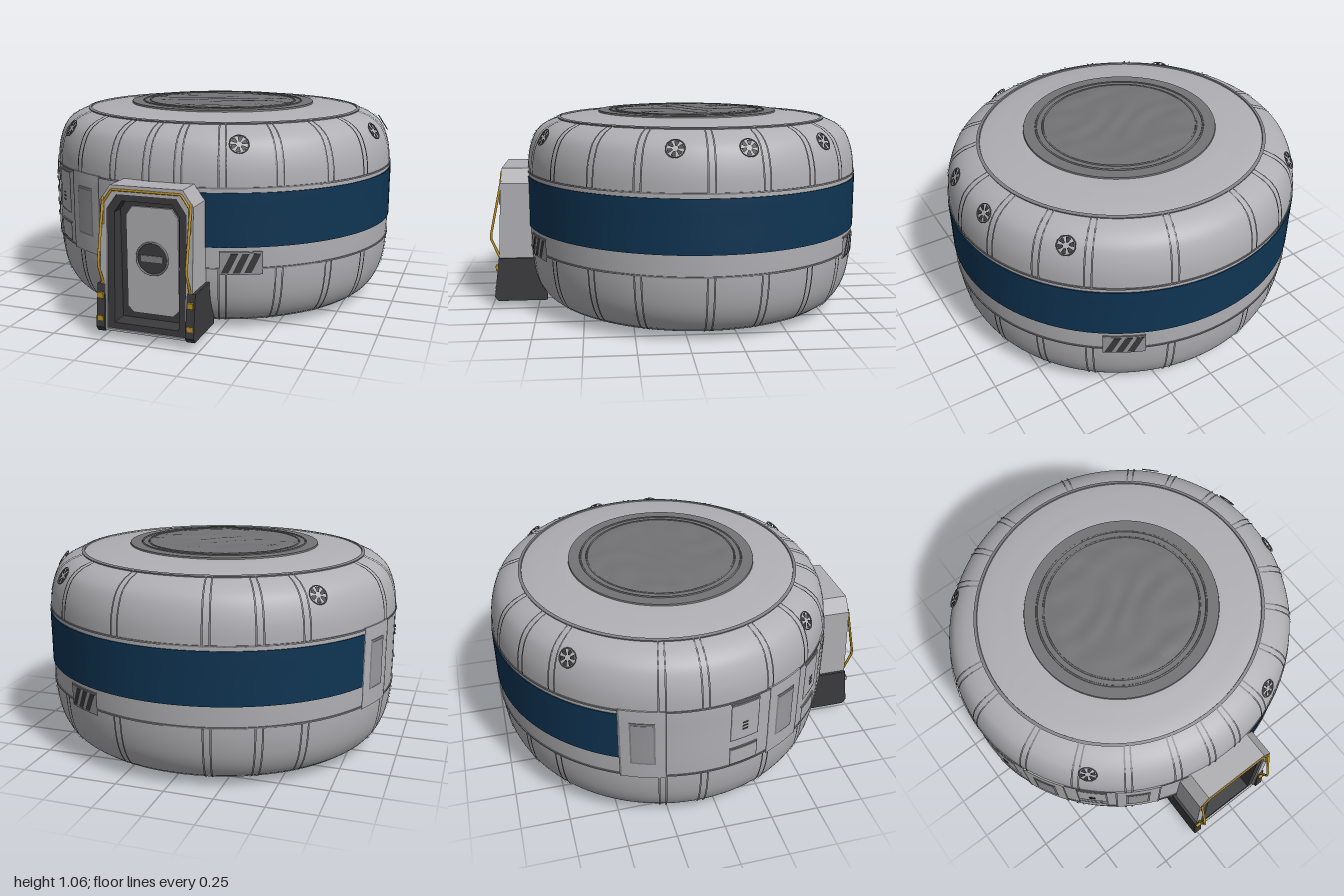
import * as THREE from 'three';

const mat = (name, color, side = THREE.FrontSide) => {
  const m = new THREE.MeshStandardMaterial({ color, side });
  m.name = name;
  return m;
};
const V2 = (x, y) => new THREE.Vector2(x, y);
const V3 = (x, y, z) => new THREE.Vector3(x, y, z);
const rad = THREE.MathUtils.degToRad;

export function createModel() {
  const hull = mat('hull grey', 0xb0afb3);
  const panel = mat('panel grey', 0x98979b);
  const seam = mat('seam grey', 0x818084);
  const cap = mat('roof cap grey', 0x737274);
  const dark = mat('dark trim', 0x3b3a3d, THREE.DoubleSide);
  const blue = mat('blue band', 0x0f3453);
  const yellow = mat('safety yellow', 0xbf931d);

  const model = new THREE.Group();
  model.name = 'habitatModule';
  const body = new THREE.Group();
  body.name = 'body';
  body.position.z = -0.097;
  body.scale.z = 0.963;
  model.add(body);

  const add = (parent, name, geo, material, x = 0, y = 0, z = 0) => {
    const m = new THREE.Mesh(geo, material);
    m.name = name;
    m.position.set(x, y, z);
    parent.add(m);
    return m;
  };

  // Hull: a fat rounded drum
  const profile = new THREE.SplineCurve([
    V2(0.78, 0.03), V2(0.85, 0.068), V2(0.9, 0.15), V2(0.925, 0.26), V2(0.932, 0.4), V2(0.932, 0.58),
    V2(0.932, 0.72), V2(0.922, 0.83), V2(0.89, 0.92), V2(0.845, 0.968), V2(0.78, 1.0),
    V2(0.7, 1.019), V2(0.6, 1.031), V2(0.5, 1.039), V2(0.25, 1.043), V2(0, 1.045),
  ]).getPoints(75);
  add(body, 'hull', new THREE.LatheGeometry(profile, 128), hull);
  add(body, 'underside', new THREE.LatheGeometry([V2(0, 0.03), V2(0.78, 0.03)], 96), hull);
  add(body, 'basePlate', new THREE.CylinderGeometry(0.465, 0.455, 0.03, 96), hull, 0, 0.015, 0);
  for (const r of [0.2, 0.4]) {
    const ring = add(body, 'baseRing', new THREE.TorusGeometry(r, 0.004, 6, 80), hull, 0, 0.004, 0);
    ring.rotation.x = Math.PI / 2;
  }

  // Hull radius and outward normal at a height
  const radiusAt = (y) => {
    for (let i = 1; i < profile.length; i++) {
      const a = profile[i - 1], b = profile[i];
      if (y <= b.y) return a.x + (b.x - a.x) * (y - a.y) / (b.y - a.y);
    }
    return 0;
  };
  const surface = (y, off) => {
    const e = 0.004, d = V2(radiusAt(y + e) - radiusAt(y - e), 2 * e).normalize();
    return V2(radiusAt(y) + d.y * off, y - d.x * off);
  };

  // Raised patch following the hull, angles in degrees from the front towards +x
  const patch = (name, a0, a1, y0, y1, off, material, lean = 0) => {
    const n = Math.max(2, Math.ceil((y1 - y0) / 0.025));
    const outer = [];
    for (let i = 0; i <= n; i++) outer.push(surface(y0 + (y1 - y0) * i / n, off));
    const pts = [surface(y0, -0.004), outer[0].clone(), ...outer, outer[n].clone(), surface(y1, -0.004)];
    const geo = new THREE.LatheGeometry(pts, Math.max(1, Math.ceil((a1 - a0) / 3)), rad(a0), rad(a1 - a0));
    if (lean) {
      const p = geo.attributes.position;
      for (let i = 0; i < p.count; i++) {
        const v = V3().fromBufferAttribute(p, i);
        v.applyAxisAngle(V3(0, 1, 0), rad(lean) * (v.y - y0) / (y1 - y0));
        p.setXYZ(i, v.x, v.y, v.z);
      }
    }
    return add(body, name, geo, material);
  };

  // Blue band around three quarters of the wall
  patch('blueBand', 10, 244, 0.445, 0.71, 0.006, blue);

  // Horizontal seams
  patch('upperSeam', 0, 360, 0.728, 0.736, 0.005, seam);
  patch('lowerSeam', 0, 360, 0.335, 0.343, 0.005, seam);
  patch('roofSeam', 0, 360, 1.007, 1.011, 0.007, seam);
  patch('footSeam', 0, 360, 0.036, 0.042, 0.004, seam);

  // Paired vertical ribs above and below the band
  for (const a of [-5, 5, 18, 35, 52, 68, 90, 107, 124, 140, 165, 193, 208, 222, 257, 270, 292, 310, 327, 343]) {
    for (const s of [-1, 1]) {
      const c = a + s * 1.1;
      patch('upperRib', c - 0.28, c + 0.28, 0.735, 1.008, 0.006, seam);
      patch('lowerRib', c - 0.28, c + 0.28, 0.04, 0.335, 0.006, seam);
    }
  }

  // Equipment wall: framed windows and service hatches
  for (const a of [-109, -61, -30]) {
    patch('windowFrame', a - 7, a + 7, 0.33, 0.74, 0.008, hull);
    for (const s of [-7, 7]) patch('frameEdge', a + s - 0.3, a + s + 0.3, 0.33, 0.74, 0.01, seam);
    patch('windowRim', a - 3.9, a + 3.9, 0.42, 0.67, 0.011, seam);
    patch('windowPane', a - 3.3, a + 3.3, 0.432, 0.658, 0.013, panel);
  }
  for (const a of [-77, -45]) {
    patch('hatchRim', a - 5, a + 5, 0.5, 0.72, 0.007, seam);
    patch('hatch', a - 4.6, a + 4.6, 0.508, 0.712, 0.009, hull);
    patch('lowerHatchRim', a - 5, a + 5, 0.35, 0.45, 0.007, seam);
    patch('lowerHatch', a - 4.6, a + 4.6, 0.357, 0.443, 0.009, hull);
    for (const y of [0.555, 0.575, 0.595]) patch('hatchSlot', a - 1, a + 1, y, y + 0.008, 0.011, dark);
  }

  // Striped warning plates
  for (const a of [17, 144]) {
    patch('warningRim', a, a + 13, 0.31, 0.425, 0.006, seam);
    patch('warningPlate', a + 0.3, a + 12.7, 0.315, 0.42, 0.008, panel);
    for (const s of [0.6, 4, 7.4]) patch('warningStripe', a + s, a + s + 2.2, 0.32, 0.415, 0.01, dark, 2.8);
  }

  // Round fan vents on the shoulder
  for (const a of [23, 79, 102, 133, 227, 314]) {
    const p = surface(0.93, 0.007), q = surface(0.93, 0.5);
    const s = Math.sin(rad(a)), c = Math.cos(rad(a));
    const vent = new THREE.Group();
    vent.name = 'vent';
    vent.position.set(p.x * s, p.y, p.x * c);
    vent.lookAt(q.x * s, q.y, q.x * c);
    add(vent, 'ventRing', new THREE.TorusGeometry(0.046, 0.003, 6, 24), seam);
    for (let i = 0; i < 6; i++) {
      add(vent, 'ventSlot', new THREE.RingGeometry(0.014, 0.04, 4, 1, i * Math.PI / 3, 0.65), dark);
    }
    body.add(vent);
  }

  // Roof cap: flat rim and crumpled cover
  const roof = new THREE.Group();
  roof.name = 'roofCap';
  roof.position.z = 0.02;
  body.add(roof);
  add(roof, 'capRim', new THREE.CylinderGeometry(0.505, 0.51, 0.02, 96), cap, 0, 1.037, 0);
  const coverPts = [];
  for (let i = 0; i <= 22; i++) coverPts.push(V2(0.44 * (1 - i / 22), 1.045));
  const cover = new THREE.LatheGeometry(coverPts, 72);
  const cp = cover.attributes.position;
  for (let i = 0; i < cp.count; i++) {
    const x = cp.getX(i), z = cp.getZ(i), t = 1 - Math.hypot(x, z) / 0.44;
    const lump = Math.sin(13 * x + 4 * Math.sin(9 * z)) * Math.cos(15 * z + 3 * Math.sin(8 * x));
    cp.setY(i, 1.046 + Math.min(1, t * 5) * (0.006 + 0.004 * lump));
  }
  cover.computeVertexNormals();
  add(roof, 'capCover', cover, cap);
  for (const r of [0.44, 0.405]) {
    const ring = add(roof, 'capRing', new THREE.TorusGeometry(r, 0.005, 6, 80), cap, 0, 1.048, 0);
    ring.rotation.x = Math.PI / 2;
  }

  // Airlock, built around its own centre line
  const lock = new THREE.Group();
  lock.name = 'airlock';
  lock.position.x = -0.024;
  model.add(lock);
  const outline = (w, y0, y1, c, foot = 0) => {
    const pts = [V2(-w + foot, y0), V2(w - foot, y0)];
    if (foot) pts.push(V2(w, y0 + foot));
    pts.push(V2(w, y1 - c), V2(w - c * 0.7, y1), V2(-w + c * 0.7, y1), V2(-w, y1 - c));
    if (foot) pts.push(V2(-w, y0 + foot));
    return pts;
  };
  const slab = (name, outer, inner, z0, z1, material, slope = 0) => {
    const shape = new THREE.Shape(outer);
    if (inner) shape.holes.push(new THREE.Path(inner));
    const geo = new THREE.ExtrudeGeometry(shape, { depth: z1 - z0, bevelEnabled: false });
    const p = geo.attributes.position;
    for (let i = 0; i < p.count; i++) {
      if (p.getZ(i) > 0.001) p.setZ(i, p.getZ(i) + slope * (0.75 - p.getY(i)));
    }
    geo.computeVertexNormals();
    return add(lock, name, geo, material, 0, 0, z0);
  };
  slab('airlockHousing', outline(0.235, 0.04, 0.75, 0.075), outline(0.2, 0.05, 0.705, 0.07), 0.6, 0.93, hull, 0.05);
  slab('doorFrame', outline(0.203, 0.045, 0.708, 0.07), outline(0.165, 0.08, 0.675, 0.055), 0.7, 0.92, dark, 0.05);
  slab('doorSurround', outline(0.18, 0.06, 0.69, 0.06), null, 0.7, 0.86, dark);
  slab('door', outline(0.133, 0.11, 0.64, 0.045, 0.03), null, 0.85, 0.87, hull);
  add(lock, 'doorPorthole', new THREE.CircleGeometry(0.08, 40), dark, 0, 0.39, 0.873);
  add(lock, 'portholeRing', new THREE.TorusGeometry(0.08, 0.005, 6, 40), seam, 0, 0.39, 0.873);
  add(lock, 'portholeBar', new THREE.BoxGeometry(0.11, 0.03, 0.006), seam, 0, 0.39, 0.874);
  add(lock, 'sill', new THREE.BoxGeometry(0.44, 0.045, 0.27), dark, 0, 0.0575, 0.8);

  // Side feet, clips and hand rails
  const foot = new THREE.Shape([V2(-0.7, 0.035), V2(-0.965, 0.035), V2(-0.982, 0.06), V2(-0.955, 0.27), V2(-0.7, 0.27)]);
  for (const s of [-1, 1]) {
    const f = add(lock, 'foot', new THREE.ExtrudeGeometry(foot, { depth: 0.042, bevelEnabled: false }), dark, s * 0.229 - 0.021);
    f.rotation.y = Math.PI / 2;
    for (const y of [0.1, 0.215]) {
      add(lock, 'clip', new THREE.BoxGeometry(0.028, 0.028, 0.02), yellow, s * 0.229, y, 0.972 - y * 0.04);
    }
    const rail = new THREE.CurvePath();
    const p = [V3(s * 0.222, 0.69, 0.93), V3(s * 0.222, 0.4, 0.993), V3(s * 0.222, 0.37, 0.993), V3(s * 0.222, 0.27, 0.95)];
    for (let i = 1; i < p.length; i++) rail.add(new THREE.LineCurve3(p[i - 1], p[i]));
    add(lock, 'handRail', new THREE.TubeGeometry(rail, 40, 0.007, 6), yellow);
  }
  const edge = new THREE.CurvePath();
  const e = [V3(-0.219, 0.56, 0.94), V3(-0.219, 0.665, 0.935), V3(-0.175, 0.728, 0.932),
    V3(0.175, 0.728, 0.932), V3(0.219, 0.665, 0.935), V3(0.219, 0.56, 0.94)];
  for (let i = 1; i < e.length; i++) edge.add(new THREE.LineCurve3(e[i - 1], e[i]));
  add(lock, 'edgeStrip', new THREE.TubeGeometry(edge, 80, 0.006, 6), yellow);

  return model;
}
